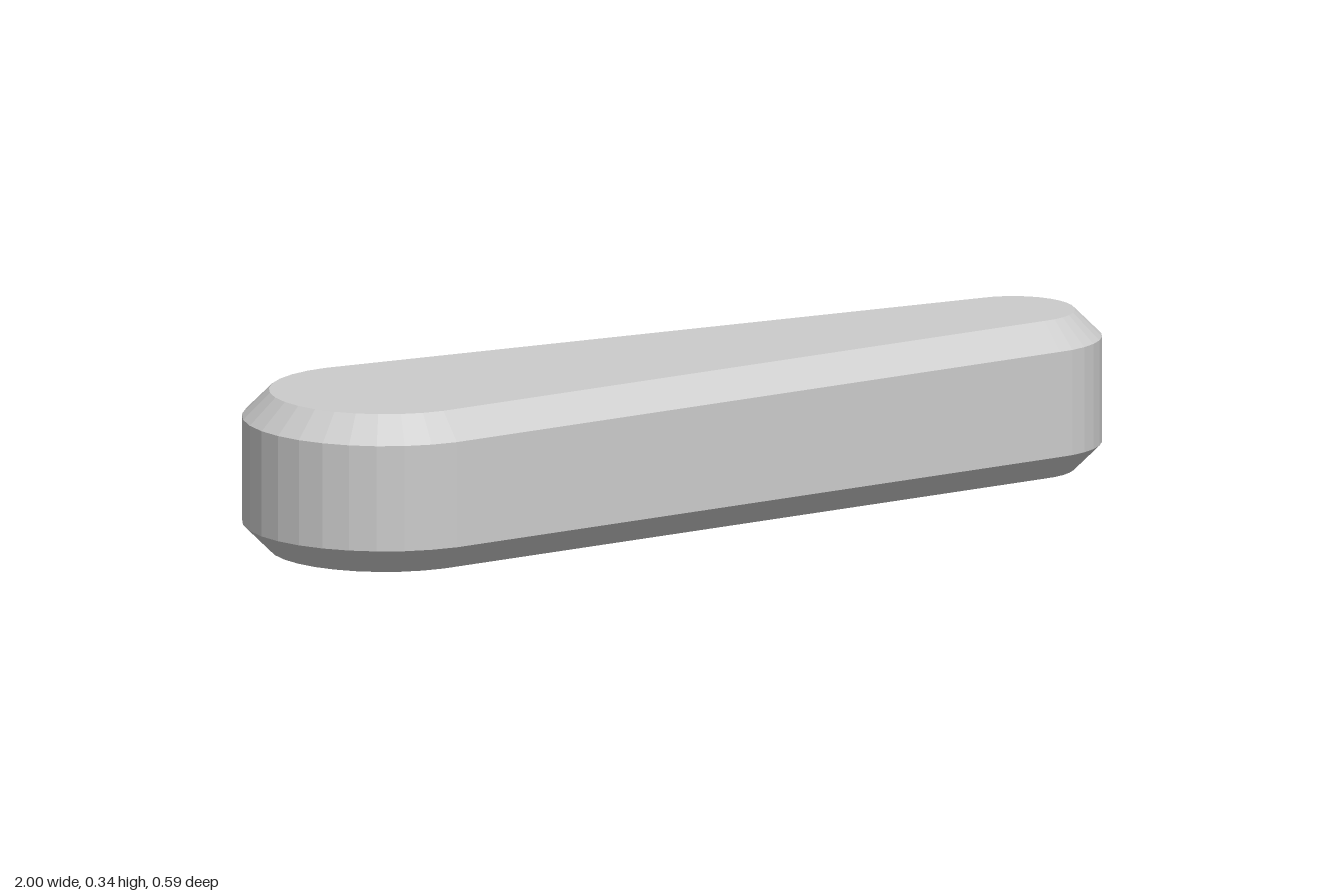
import * as THREE from 'three';

export function createModel() {
  const group = new THREE.Group();
  const bevel = 0.056, height = 0.336;

  // Tapered outline of the flat face: a large round end and a small round end
  const outline = new THREE.Shape();
  outline.absarc(-0.703, 0, 0.241, Math.PI / 2, Math.PI * 1.5, false);
  outline.absarc(0.815, 0, 0.129, -Math.PI / 2, Math.PI / 2, false);
  outline.closePath();

  // Solid body with a single chamfer around top and bottom
  const geometry = new THREE.ExtrudeGeometry(outline, {
    depth: height - 2 * bevel,
    bevelEnabled: true,
    bevelSize: bevel,
    bevelThickness: bevel,
    bevelSegments: 1,
    curveSegments: 8,
  });
  geometry.rotateX(-Math.PI / 2);
  geometry.translate(0, bevel, 0);

  const body = new THREE.Mesh(
    geometry,
    new THREE.MeshStandardMaterial({ color: 0xcccccc, flatShading: true })
  );
  body.name = 'taperedBody';
  group.add(body);
  return group;
}
